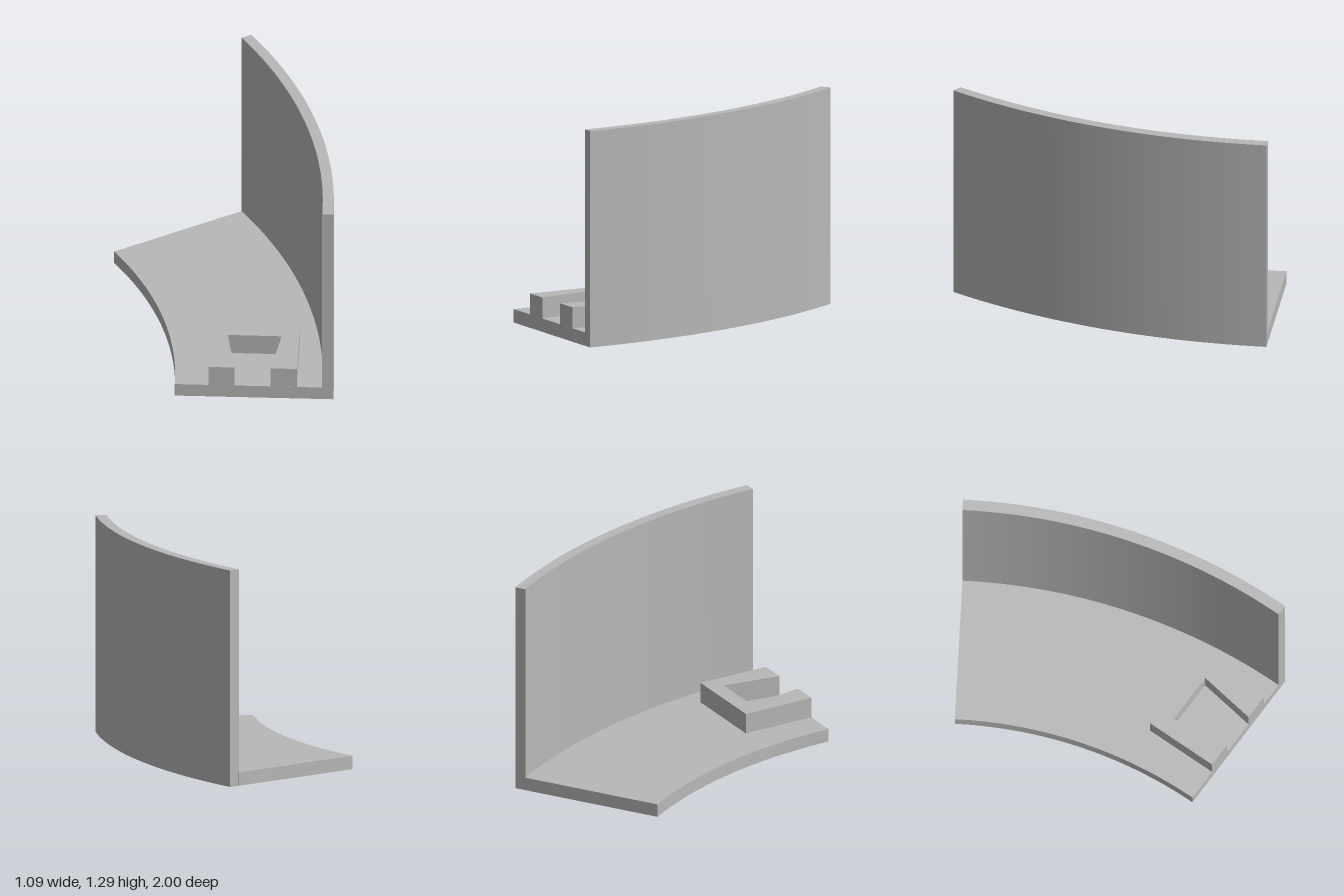
import * as THREE from 'three';
import { toCreasedNormals } from 'three/addons/utils/BufferGeometryUtils.js';

// Common centre of the curved parts, and their end angles
const CX = -3.005, CZ = 0.202;
const FRONT = THREE.MathUtils.degToRad(-13), BACK = THREE.MathUtils.degToRad(19.8);

export function createModel() {
  const group = new THREE.Group();
  const grey = new THREE.MeshStandardMaterial({ color: 0xb8b8b8 });
  grey.name = 'grey';

  // Extrudes a plan (x, -z) upwards from y0 to y1
  function addPlan(name, shape, y0, y1) {
    let geometry = new THREE.ExtrudeGeometry(shape, {
      depth: y1 - y0, bevelEnabled: false, curveSegments: 48,
    });
    geometry.rotateX(-Math.PI / 2).translate(0, y0, 0);
    geometry = toCreasedNormals(geometry, 0.4);
    const mesh = new THREE.Mesh(geometry, grey);
    mesh.name = name;
    group.add(mesh);
  }

  // Ring sector between two radii
  function sector(inner, outer) {
    const shape = new THREE.Shape();
    shape.absarc(CX, -CZ, outer, FRONT, BACK, false);
    shape.absarc(CX, -CZ, inner, BACK, FRONT, true);
    shape.closePath();
    return shape;
  }

  addPlan('floor', sector(2.616, 3.482), 0, 0.08);
  addPlan('curvedWall', sector(3.482, 3.547), 0, 1.29);

  // U-shaped bracket, open towards the front edge
  const bracket = new THREE.Shape([
    [-0.263, 0.835], [-0.115, 0.869], [-0.088, 0.515], [0.22, 0.588],
    [0.093, 0.917], [0.243, 0.951], [0.342, 0.515], [-0.165, 0.397],
  ].map(([x, z]) => new THREE.Vector2(x, -z)));
  addPlan('bracket', bracket, 0.08, 0.205);

  return group;
}
